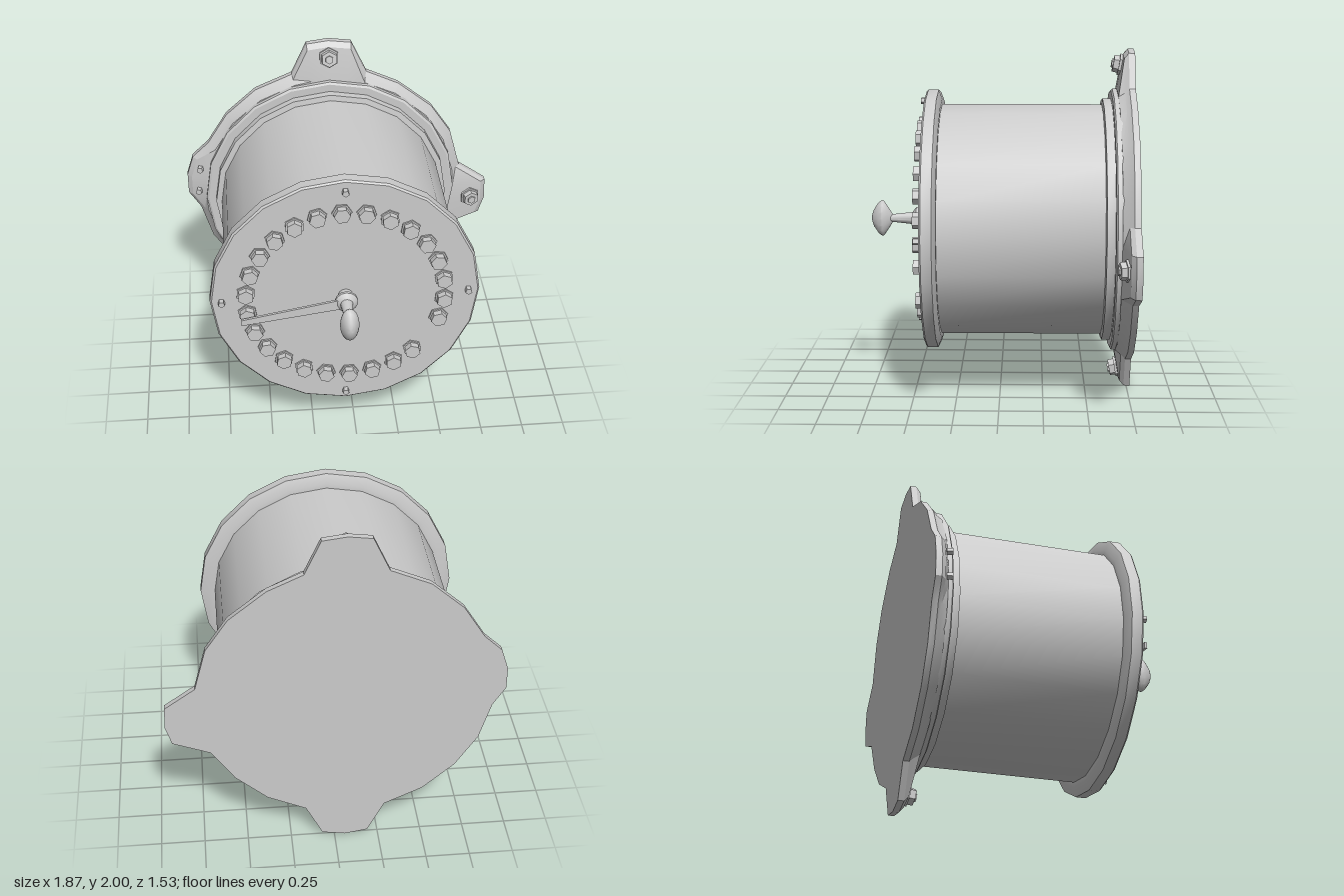
import * as THREE from 'three';
import { toCreasedNormals } from 'three/addons/utils/BufferGeometryUtils.js';

const material = new THREE.MeshStandardMaterial({ color: 0xcccccc });
const flat = new THREE.MeshStandardMaterial({ color: 0xcccccc, flatShading: true });

// Everything is placed relative to the drum axis, which runs along z
const axis = new THREE.Vector3(-0.06, 1.003, 0);

function add(parent, name, geometry, mat = material) {
  const mesh = new THREE.Mesh(geometry, mat);
  mesh.name = name;
  parent.add(mesh);
  return mesh;
}

// Turned part: profile of [radius, z], back to front
function turned(profile, sides, crease = 0.5) {
  const g = new THREE.LatheGeometry(profile.map(([r, z]) => new THREE.Vector2(r, z)), sides);
  g.rotateX(Math.PI / 2);
  return toCreasedNormals(g, crease);
}

// Short prism standing on z = 0 and pointing to +z
function prism(radius, height, sides, topRadius = radius) {
  const g = new THREE.CylinderGeometry(topRadius, radius, height, sides);
  return g.rotateX(Math.PI / 2).translate(0, 0, height / 2);
}

// Mounting plate outline, clockwise from the top lug
const outline = [
  [0, 0.997], [0.135, 0.98], [0.225, 0.785], [0.42, 0.695], [0.625, 0.53], [0.75, 0.345],
  [0.815, 0.1], [0.985, -0.02], [0.99, -0.15], [0.955, -0.26], [0.75, -0.34], [0.62, -0.53],
  [0.44, -0.69], [0.225, -0.79], [0.13, -0.98], [0, -1.002], [-0.13, -0.98], [-0.225, -0.79],
  [-0.44, -0.69], [-0.62, -0.53], [-0.745, -0.34], [-0.81, -0.12], [-0.88, -0.01], [-0.88, 0.12],
  [-0.84, 0.245], [-0.74, 0.34], [-0.62, 0.53], [-0.44, 0.69], [-0.22, 0.785], [-0.13, 0.98],
];

// Plate lofted through loops: back face, rim, bevel, sloped face, centre
function plateGeometry() {
  const scaled = (s, z) => outline.map(([x, y]) => [x * s, y * s, z]);
  const round = (r, z) => outline.map(([x, y]) => {
    const k = r / Math.hypot(x, y);
    return [x * k, y * k, z];
  });
  const loops = [
    scaled(0, -0.765), scaled(1, -0.765), scaled(1, -0.73),
    scaled(0.97, -0.705), round(0.77, -0.67), scaled(0, -0.67),
  ];
  const n = outline.length;
  const index = [];
  for (let j = 0; j < loops.length - 1; j++) {
    for (let i = 0; i < n; i++) {
      const a = j * n + i, b = j * n + (i + 1) % n;
      if (j < loops.length - 2) index.push(a, a + n, b + n);
      else index.push(a, a + n, b);
      if (j > 0 && j < loops.length - 2) index.push(a, b + n, b);
    }
  }
  const g = new THREE.BufferGeometry();
  g.setAttribute('position', new THREE.Float32BufferAttribute(loops.flat(2), 3));
  g.setIndex(index);
  return toCreasedNormals(g, 0.35);
}

export function createModel() {
  const model = new THREE.Group();
  const body = new THREE.Group();
  body.name = 'body';
  body.position.copy(axis);
  model.add(body);

  add(body, 'mountingPlate', plateGeometry());

  // Drum with its stepped rear collars
  add(body, 'drum', turned([
    [0.768, -0.68], [0.768, -0.645], [0.755, -0.637], [0.71, -0.637],
    [0.71, -0.59], [0.676, -0.585], [0.676, 0.345],
  ], 20));

  // Front cover with a tapered back edge
  add(body, 'frontCover', turned([
    [0.67, 0.34], [0.705, 0.34], [0.76, 0.36], [0.76, 0.42], [0.75, 0.43], [0, 0.43],
  ], 20));

  // Ring of hexagon bolts, one position left empty
  const count = 26;
  for (let i = 0; i < count; i++) {
    if (i === 9) continue;
    const a = THREE.MathUtils.degToRad(92) - i * Math.PI * 2 / count;
    const bolt = new THREE.Group();
    bolt.name = 'coverBolt';
    bolt.position.set(0.56 * Math.cos(a), 0.56 * Math.sin(a), 0.428);
    bolt.rotation.z = a;
    add(bolt, 'boltWasher', prism(0.056, 0.012, 6), flat);
    add(bolt, 'boltHead', prism(0.046, 0.048, 6), flat);
    body.add(bolt);
  }

  // Four small pins near the cover's edge
  for (let i = 0; i < 4; i++) {
    const a = i * Math.PI / 2;
    add(body, 'coverPin', prism(0.02, 0.035, 5), flat)
      .position.set(0.695 * Math.cos(a), 0.695 * Math.sin(a), 0.428);
  }

  // Fasteners on the sloped lugs, leaning outward
  const lean = (x, y, z) => {
    const g = new THREE.Group();
    g.name = 'lugFastener';
    g.position.set(x, y, z);
    const normal = new THREE.Vector3(x, y, 0).normalize().multiplyScalar(0.18).setZ(1).normalize();
    g.quaternion.setFromUnitVectors(new THREE.Vector3(0, 0, 1), normal);
    body.add(g);
    return g;
  };
  for (const [x, y] of [[0, 0.905], [0.885, -0.115], [0, -0.9]]) {
    const g = lean(x, y, -0.698);
    add(g, 'lugWasher', prism(0.062, 0.018, 6), flat);
    add(g, 'lugNut', prism(0.052, 0.05, 6, 0.048), flat);
    add(g, 'lugStud', prism(0.025, 0.06, 6), flat);
  }
  for (const [x, y] of [[-0.795, 0.185], [-0.81, 0.03]]) {
    add(lean(x, y, -0.69), 'lugPin', prism(0.02, 0.035, 5), flat);
  }

  // Handle spindle: shaft, hub flange and tapered stem
  add(body, 'handleSpindle', turned([
    [0.042, 0.42], [0.042, 0.475], [0.065, 0.482], [0.065, 0.498], [0.045, 0.515],
    [0.036, 0.52], [0.022, 0.65],
  ], 14));

  // Flattened lens-shaped knob
  const knob = add(body, 'handleKnob', turned([
    [0, 0.636], [0.03, 0.642], [0.07, 0.667], [0.104, 0.69], [0.107, 0.702],
    [0.092, 0.722], [0.05, 0.75], [0.02, 0.76], [0, 0.761],
  ], 16, 0.9));
  knob.scale.x = 0.5;

  // Tapered pointer arm
  const arm = new THREE.Shape([
    [-0.59, -0.12], [0, -0.035], [0, 0.03], [-0.59, -0.083],
  ].map(([x, y]) => new THREE.Vector2(x, y)));
  add(body, 'pointer', new THREE.ExtrudeGeometry(arm, { depth: 0.015, bevelEnabled: false }), flat)
    .position.z = 0.493;

  return model;
}
